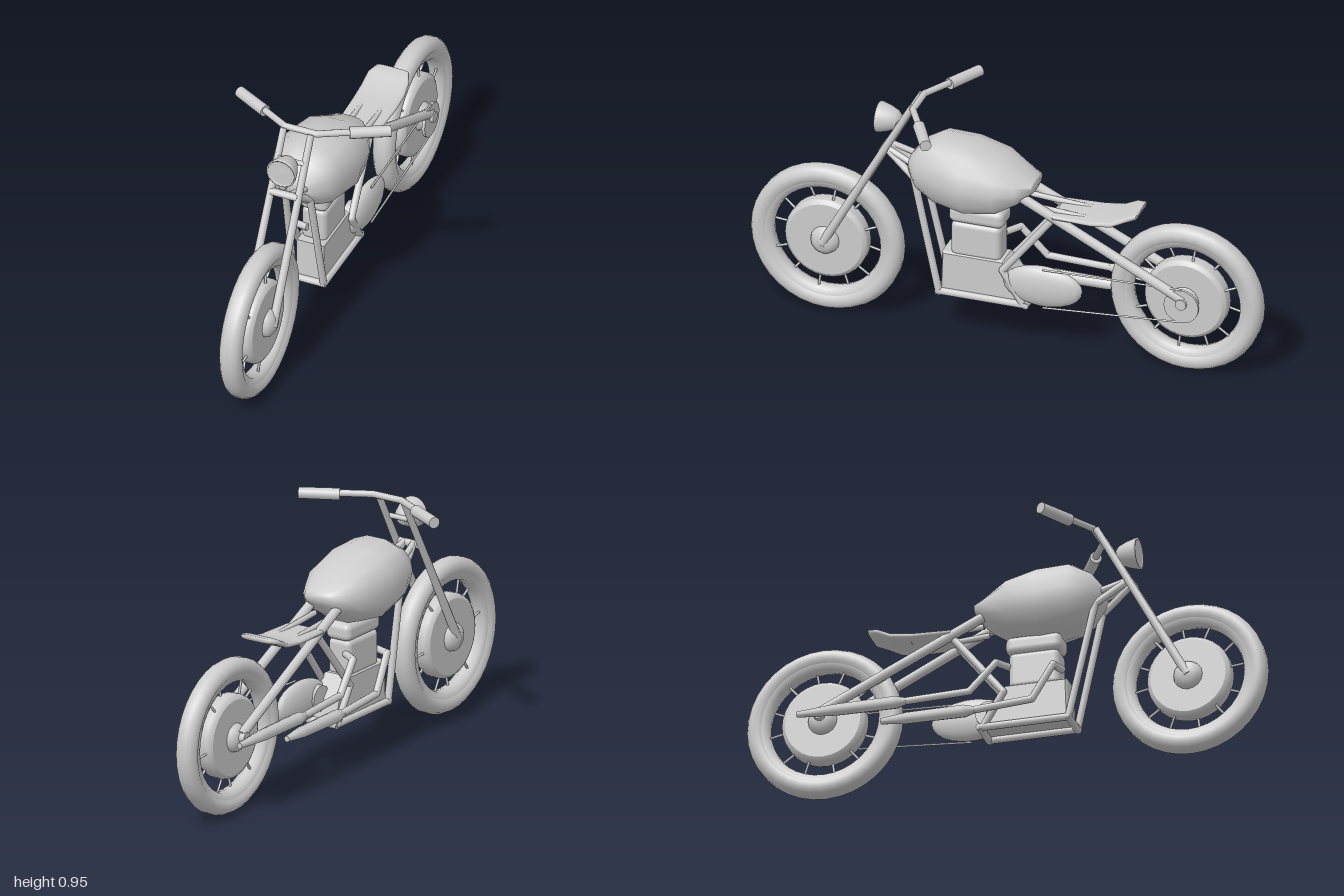
import * as THREE from 'three';
import { RoundedBoxGeometry } from 'three/addons/geometries/RoundedBoxGeometry.js';

const MID = -0.01; // centre plane of the machine
const mat = new THREE.MeshStandardMaterial({ color: 0xcccccc, side: THREE.DoubleSide });
const V = (x, y, z) => new THREE.Vector3(x, y, z);

export function createModel() {
  const root = new THREE.Group();
  root.name = 'motorcycle';

  const add = (name, geo, x = 0, y = 0, z = 0, parent = root) => {
    const m = new THREE.Mesh(geo, mat);
    m.name = name;
    m.position.set(x, y, z);
    parent.add(m);
    return m;
  };

  // straight round bar between two points, optionally tapered
  const bar = (name, a, b, r, r2 = r, sides = 10, parent = root) => {
    const m = add(name, new THREE.CylinderGeometry(r2, r, a.distanceTo(b), sides), 0, 0, 0, parent);
    m.position.copy(a).add(b).multiplyScalar(0.5);
    m.quaternion.setFromUnitVectors(V(0, 1, 0), b.clone().sub(a).normalize());
    return m;
  };

  // chain of bars with ball joints
  const pipe = (name, pts, r) => {
    const g = new THREE.Group();
    g.name = name;
    root.add(g);
    for (let i = 1; i < pts.length; i++) {
      bar(name + 'Section', pts[i - 1], pts[i], r, r, 10, g);
      if (i < pts.length - 1) add(name + 'Joint', new THREE.SphereGeometry(r, 10, 8), ...pts[i].toArray(), g);
    }
  };

  // lathe turned so that its axis lies along x
  const latheX = (pts, seg) =>
    new THREE.LatheGeometry(pts.map(([r, h]) => new THREE.Vector2(r, h)), seg).rotateZ(-Math.PI / 2);

  // skin over super-ellipse sections [z, bottom, top, halfWidth]
  const loft = (sections, n, power) => {
    const pos = [], idx = [];
    const sp = (v) => Math.sign(v) * Math.abs(v) ** power;
    for (const [z, lo, hi, w] of sections)
      for (let i = 0; i < n; i++) {
        const a = (i / n) * Math.PI * 2;
        pos.push(w * sp(Math.cos(a)), (lo + hi) / 2 + ((hi - lo) / 2) * sp(Math.sin(a)), z);
      }
    for (let s = 0; s < sections.length - 1; s++)
      for (let i = 0; i < n; i++) {
        const a = s * n + i, b = s * n + ((i + 1) % n);
        idx.push(a, a + n, b, b, a + n, b + n);
      }
    // end caps, front section first
    const last = (sections.length - 1) * n;
    for (let i = 1; i < n - 1; i++) idx.push(0, i, i + 1, last, last + i + 1, last + i);
    const g = new THREE.BufferGeometry();
    g.setAttribute('position', new THREE.Float32BufferAttribute(pos, 3));
    g.setIndex(idx);
    g.computeVertexNormals();
    return g;
  };

  // wheels: tyre with rim, drum, hub and spokes
  const wheel = (name, z) => {
    const g = new THREE.Group();
    g.name = name;
    g.position.set(MID, 0.297, z);
    root.add(g);
    add('tyre', latheX([[0.235, -0.03], [0.25, -0.041], [0.272, -0.042], [0.288, -0.03], [0.297, -0.014],
      [0.297, 0.014], [0.288, 0.03], [0.272, 0.042], [0.25, 0.041], [0.235, 0.03]], 36), 0, 0, 0, g);
    add('rim', latheX([[0.238, -0.032], [0.214, -0.026], [0.208, 0], [0.214, 0.026], [0.238, 0.032]], 36), 0, 0, 0, g);
    add('drum', latheX([[0, -0.036], [0.145, -0.036], [0.145, -0.036], [0.158, -0.028], [0.162, -0.018],
      [0.162, 0.018], [0.158, 0.028], [0.145, 0.036], [0.145, 0.036], [0, 0.036]], 32), 0, 0, 0, g);
    add('hub', latheX([[0, -0.07], [0.03, -0.066], [0.05, -0.052], [0.058, -0.03], [0.058, 0.03],
      [0.05, 0.052], [0.03, 0.066], [0, 0.07]], 16), 0, 0, 0, g);
    for (let i = 0; i < 12; i++) {
      const a = ((i + 0.3) / 12) * Math.PI * 2;
      const at = (r, x) => V(x, r * Math.sin(a), r * Math.cos(a));
      const x = i % 2 ? 0.015 : -0.015;
      bar('spoke', at(0.15, x), at(0.225, x * 0.5), 0.005, 0.005, 6, g);
    }
  };
  wheel('frontWheel', 0.703);
  wheel('rearWheel', -0.703);

  // paired tubes
  for (const s of [-1, 1]) {
    const P = (x, y, z) => V(MID + s * x, y, z);
    bar('forkLeg', P(0.057, 0.29, 0.708), P(0.055, 0.93, 0.355), 0.017, 0.013);
    pipe('downTube', [P(0.02, 0.725, 0.475), P(0.05, 0.63, 0.35), P(0.06, 0.178, 0.25), P(0.06, 0.178, -0.095)], 0.014);
    bar('rearStay', P(0.058, 0.645, -0.04), P(0.068, 0.315, -0.71), 0.019);
    pipe('seatStrut', [P(0.05, 0.575, -0.21), P(0.062, 0.31, 0), P(0.06, 0.178, -0.08)], 0.014);
    bar('seatRail', P(0.04, 0.595, -0.08), P(0.04, 0.575, -0.36), 0.011);
    bar('topTube', P(0.02, 0.725, 0.475), P(0.05, 0.66, 0.3), 0.012);
  }
  bar('lowerClamp', V(-0.065, 0.72, 0.474), V(0.045, 0.72, 0.474), 0.015);
  bar('frameCrossbarFront', V(-0.08, 0.178, 0.25), V(0.06, 0.178, 0.25), 0.014);
  bar('frameCrossbarRear', V(-0.08, 0.178, -0.09), V(0.06, 0.178, -0.09), 0.014);
  bar('rearAxle', V(-0.1, 0.305, -0.705), V(0.08, 0.305, -0.705), 0.022);

  // handlebar and grips
  pipe('handlebar', [V(-0.19, 0.932, 0.275), V(-0.065, 0.932, 0.345), V(0.065, 0.932, 0.345), V(0.19, 0.932, 0.275)], 0.013);
  for (const s of [-1, 1]) bar('grip', V(s * 0.17, 0.928, 0.285), V(s * 0.305, 0.928, 0.212), 0.023, 0.022, 12);

  // headlight bowl with bezel and lens
  const lamp = new THREE.Group();
  lamp.name = 'headlight';
  lamp.position.set(MID, 0.835, 0.415);
  root.add(lamp);
  const bowl = [[0, 0], [0.02, 0.003], [0.036, 0.018], [0.05, 0.05], [0.059, 0.083], [0.059, 0.09], [0.053, 0.09], [0.053, 0.084], [0, 0.088]]
    .map(([r, h]) => new THREE.Vector2(r, h));
  add('headlightBowl', new THREE.LatheGeometry(bowl, 24).rotateX(Math.PI / 2), 0, 0, 0, lamp);
  bar('headlightBracket', V(-0.06, 0.835, 0.415), V(0.045, 0.835, 0.415), 0.01);

  // fuel tank
  add('fuelTank', loft([[0.372, 0.64, 0.71, 0.055], [0.33, 0.585, 0.765, 0.115], [0.26, 0.545, 0.805, 0.145],
    [0.14, 0.522, 0.796, 0.162], [0.02, 0.54, 0.765, 0.146], [-0.06, 0.59, 0.715, 0.107], [-0.112, 0.64, 0.69, 0.066]], 14, 0.85), MID);

  // seat
  add('seat', loft([[-0.2, 0.566, 0.584, 0.084], [-0.35, 0.566, 0.588, 0.088], [-0.43, 0.575, 0.6, 0.088],
    [-0.48, 0.6, 0.625, 0.084], [-0.52, 0.612, 0.634, 0.066]], 16, 0.55), MID);

  // engine
  const side = new THREE.Shape([[-0.24, 0.19], [0.08, 0.19], [0.06, 0.26], [-0.005, 0.335], [-0.235, 0.335]]
    .map(([a, b]) => new THREE.Vector2(a, b)));
  const crank = new THREE.ExtrudeGeometry(side, { depth: 0.09, bevelSize: 0.006, bevelThickness: 0.01, bevelSegments: 1 });
  add('crankcase', crank.rotateY(Math.PI / 2), MID - 0.045);
  add('cylinderBlock', new RoundedBoxGeometry(0.1, 0.145, 0.195, 3, 0.022), MID, 0.4, 0.112);
  add('cylinderHead', new RoundedBoxGeometry(0.11, 0.07, 0.215, 3, 0.025), MID, 0.503, 0.11);

  // exhausts on the right side: header, muffler, tail
  const exhaust = (head, x, y, z0, z1, z2) => {
    pipe('exhaustHeader', [...head, V(x, y, z0)], 0.014);
    const zm = z0 - 0.04;
    bar('mufflerCone', V(x, y, z0), V(x, y, zm), 0.014, 0.025, 8);
    bar('muffler', V(x, y, zm), V(x, y, z1), 0.025, 0.023, 8);
    bar('tailpipe', V(x, y, z1), V(x, y, z2), 0.023, 0.012, 8);
  };
  exhaust([V(-0.04, 0.42, 0.02), V(-0.1, 0.42, -0.02), V(-0.112, 0.31, -0.12)], -0.118, 0.3, -0.36, -0.63, -0.78);
  exhaust([V(-0.03, 0.39, 0.215), V(-0.1, 0.385, 0.2), V(-0.108, 0.25, 0.12)], -0.108, 0.235, -0.1, -0.36, -0.46);

  // drive cover, sprocket and chain on the left side
  const cover = add('driveCover', new THREE.SphereGeometry(1, 18, 12), 0.042, 0.266, -0.155);
  cover.scale.set(0.036, 0.083, 0.155);
  add('rearSprocket', new THREE.CylinderGeometry(0.068, 0.068, 0.012, 20).rotateZ(Math.PI / 2), 0.062, 0.292, -0.703);
  bar('chainTop', V(0.062, 0.345, -0.16), V(0.062, 0.36, -0.703), 0.004, 0.004, 6);
  bar('chainBottom', V(0.062, 0.186, -0.16), V(0.062, 0.224, -0.703), 0.004, 0.004, 6);
  bar('driveShaft', V(0.0, 0.266, -0.08), V(0.05, 0.266, -0.08), 0.05, 0.05, 14);

  return root;
}
